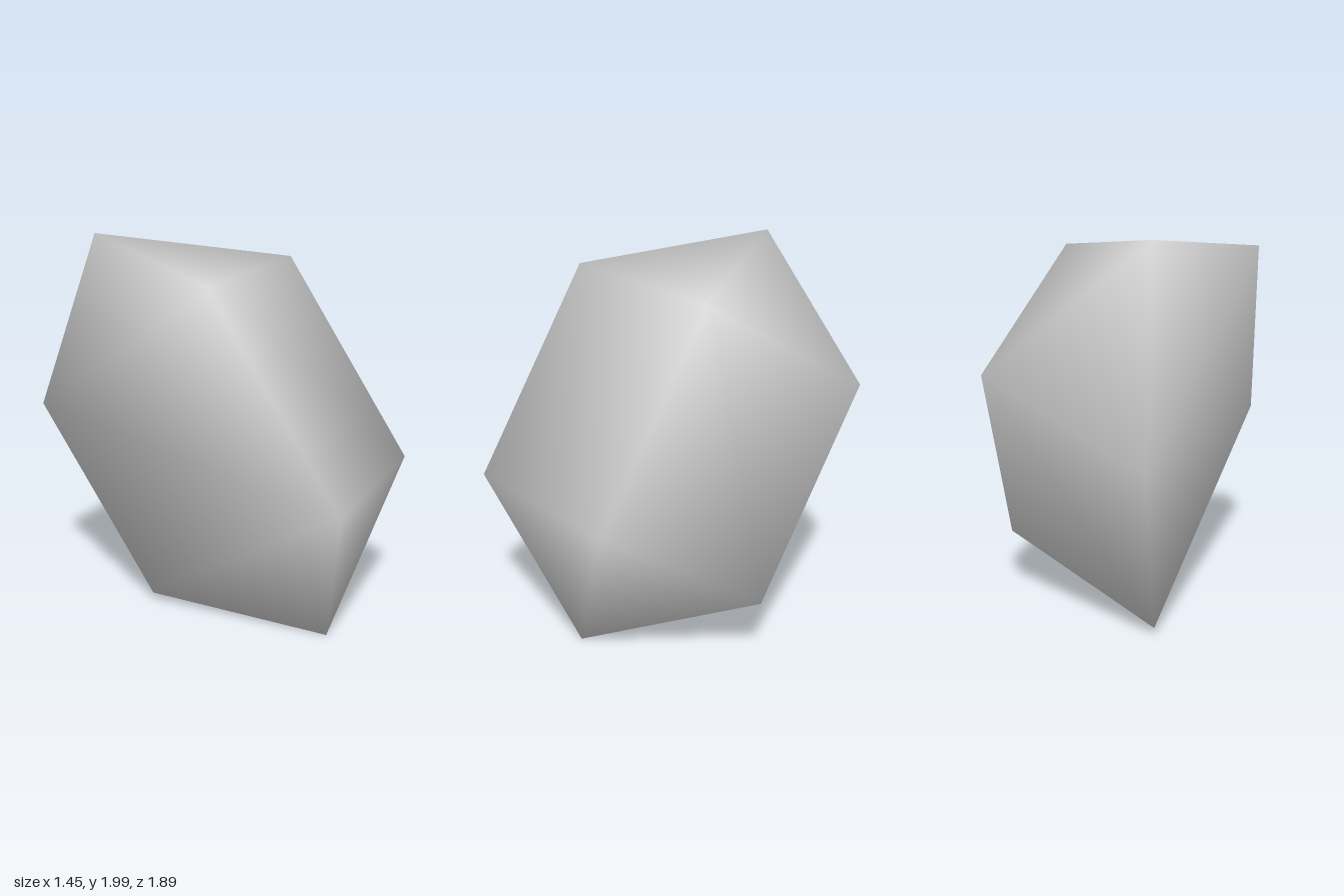
import * as THREE from 'three';

// Tilted five-sided crystal with a point at each end and one corner cut away flat.
export function createModel() {
  const group = new THREE.Group();
  group.name = 'crystal';
  const stone = new THREE.MeshStandardMaterial({ color: 0xcccccc });
  stone.name = 'grey stone';

  // Local frame: long axis, direction of the cut corner, and the one across it
  const axis = new THREE.Vector3(-0.301, 0.837, -0.456).normalize();
  const cut = new THREE.Vector3(-0.93, -0.168, 0.305).normalize();
  const across = new THREE.Vector3().crossVectors(axis, cut).normalize();
  const middle = new THREE.Vector3(-0.17, 1.0, -0.055);
  const radius = 0.825, halfBody = 0.6, halfTotal = 1.19, sides = 4;

  const positions = [], normals = [], indices = [];
  const addVertex = (offset, normal) => {
    positions.push(...offset.add(middle).toArray());
    normals.push(...normal.normalize().toArray());
  };

  // Upper and lower halves: four ring corners each, then the point
  for (const end of [1, -1]) {
    for (let i = 1; i <= sides; i++) {
      const angle = (i * Math.PI * 2) / 5;
      const radial = cut.clone().multiplyScalar(Math.cos(angle))
        .addScaledVector(across, Math.sin(angle));
      addVertex(
        radial.clone().multiplyScalar(radius).addScaledVector(axis, end * halfBody),
        radial.clone().addScaledVector(axis, end * 0.43)
      );
    }
    addVertex(axis.clone().multiplyScalar(end * halfTotal), axis.clone().multiplyScalar(end));
  }

  // Body sides and the facets running to each point
  const top = 4, low = 5, bottom = 9;
  for (let i = 0; i < sides; i++) {
    const j = (i + 1) % sides;
    indices.push(i, low + i, low + j, i, low + j, j);
    indices.push(top, i, j, bottom, low + j, low + i);
  }

  const geometry = new THREE.BufferGeometry();
  geometry.setAttribute('position', new THREE.Float32BufferAttribute(positions, 3));
  geometry.setAttribute('normal', new THREE.Float32BufferAttribute(normals, 3));
  geometry.setIndex(indices);

  const body = new THREE.Mesh(geometry, stone);
  body.name = 'crystalBody';
  group.add(body);
  return group;
}
